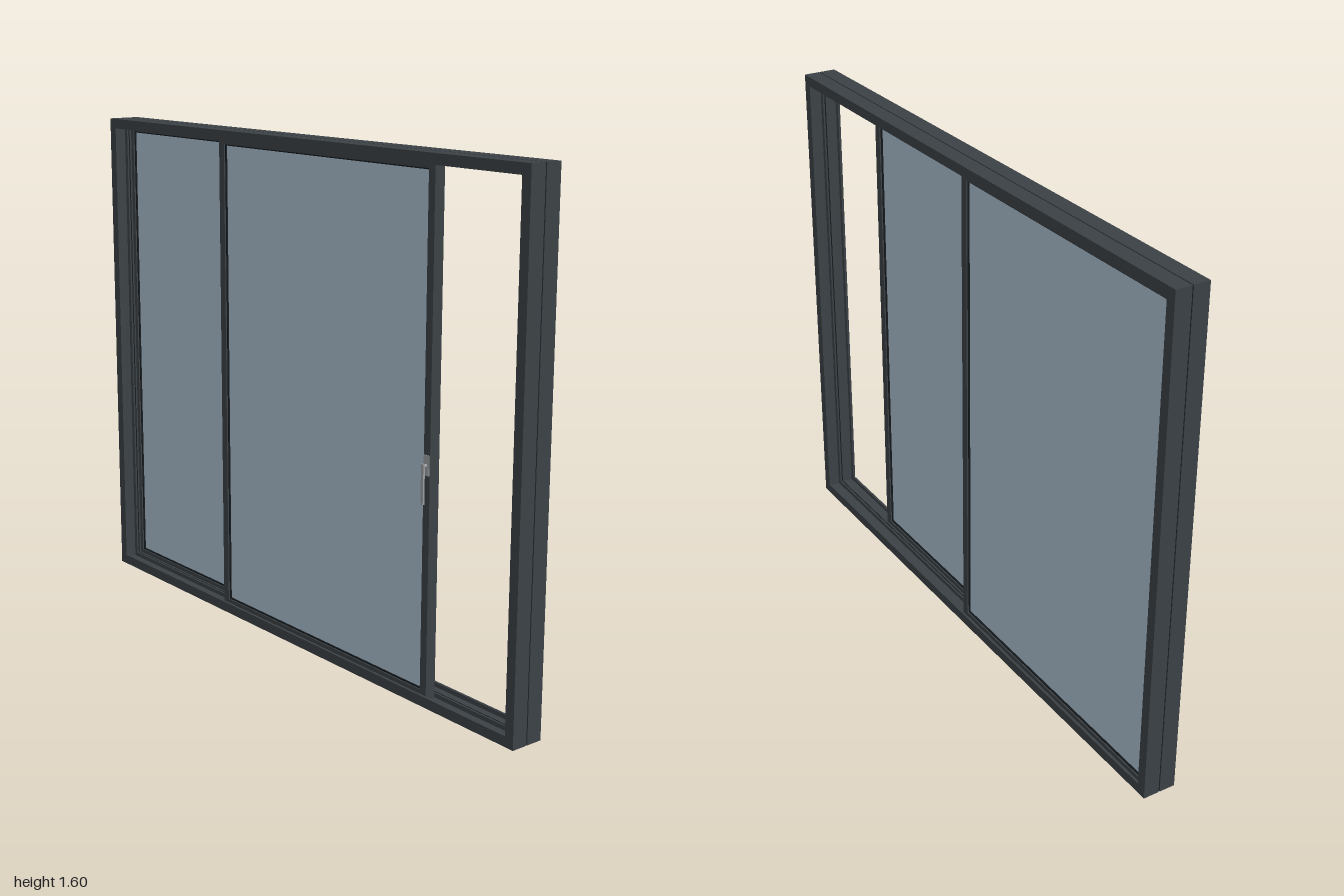
import * as THREE from 'three';

const mat = (color) => new THREE.MeshStandardMaterial({ color });

export function createModel() {
  const model = new THREE.Group();
  model.name = 'slidingDoor';
  const frameMat = mat(0x3b4145), sealMat = mat(0x14191c);
  const glassMat = mat(0xa8bccc), handleMat = mat(0x9a9d9f);

  const add = (parent, name, geometry, material) => {
    const mesh = new THREE.Mesh(geometry, material);
    mesh.name = name;
    parent.add(mesh);
    return mesh;
  };

  // Box given by its limits on each axis
  const block = (parent, name, [x0, x1], [y0, y1], [z0, z1], material) =>
    add(parent, name, new THREE.BoxGeometry(x1 - x0, y1 - y0, z1 - z0)
      .translate((x0 + x1) / 2, (y0 + y1) / 2, (z0 + z1) / 2), material);

  // Rectangular ring with a border of width w, extruded from z0 to z1
  const ring = (parent, name, [x0, x1], [y0, y1], [z0, z1], w, material) => {
    const rect = (Type, d) => new Type([
      [x0 + d, y0 + d], [x1 - d, y0 + d], [x1 - d, y1 - d], [x0 + d, y1 - d],
    ].map(([x, y]) => new THREE.Vector2(x, y)));
    const shape = rect(THREE.Shape, 0);
    shape.holes.push(rect(THREE.Path, w));
    const geometry = new THREE.ExtrudeGeometry(shape, { depth: z1 - z0, bevelEnabled: false });
    return add(parent, name, geometry.translate(0, 0, z0), material);
  };

  // Outer frame: two track halves, with lips on both sides of a shallow channel
  const frame = new THREE.Group();
  frame.name = 'outerFrame';
  model.add(frame);
  const mid = -0.003, half = 0.054, gap = 0.002, lip = 0.008;
  const X = [-1, 1], Y = [0, 1.6];
  for (const side of [1, -1]) {
    const span = (a, b) => [mid + side * a, mid + side * b].sort((p, q) => p - q);
    const name = side > 0 ? 'front' : 'back';
    ring(frame, name + 'OuterLip', X, Y, span(half - lip, half), 0.032, frameMat);
    ring(frame, name + 'Channel', X, Y, span(lip, half - lip), 0.018, frameMat);
    ring(frame, name + 'InnerLip', X, Y, span(gap, lip), 0.032, frameMat);
  }
  // Dark joint between the halves
  ring(frame, 'centreSeal', [-0.998, 0.998], [0.002, 1.598], [mid - gap, mid + gap], 0.03, sealMat);

  // Glazed leaf: stiles and rails, gasket and pane
  const leaf = (name, x, zc) => {
    const group = new THREE.Group();
    group.name = name;
    model.add(group);
    const y = [0.018, 1.582], inset = 0.026;
    const inner = ([a, b], d) => [a + d, b - d];
    const depth = (d) => [zc - d, zc + d];
    ring(group, 'leafFrame', x, y, depth(0.0175), inset, frameMat);
    ring(group, 'gasket', inner(x, inset), inner(y, inset), depth(0.013), 0.004, sealMat);
    block(group, 'glassPane', inner(x, inset), inner(y, inset), depth(0.008), glassMat);
    return group;
  };
  leaf('fixedLeaf', [-0.982, 0.015], mid - 0.027);
  const sliding = leaf('slidingLeaf', [-0.37, 0.635], mid + 0.027);

  // Handle on the leading stile
  const handle = new THREE.Group();
  handle.name = 'handle';
  sliding.add(handle);
  block(handle, 'backPlate', [0.611, 0.633], [0.695, 0.755], [0.04, 0.044], handleMat);
  const neck = add(handle, 'neck', new THREE.CylinderGeometry(0.005, 0.005, 0.014, 16), handleMat);
  neck.rotation.x = Math.PI / 2;
  neck.position.set(0.622, 0.725, 0.049);
  block(handle, 'lever', [0.617, 0.627], [0.613, 0.732], [0.053, 0.059], handleMat);

  return model;
}
